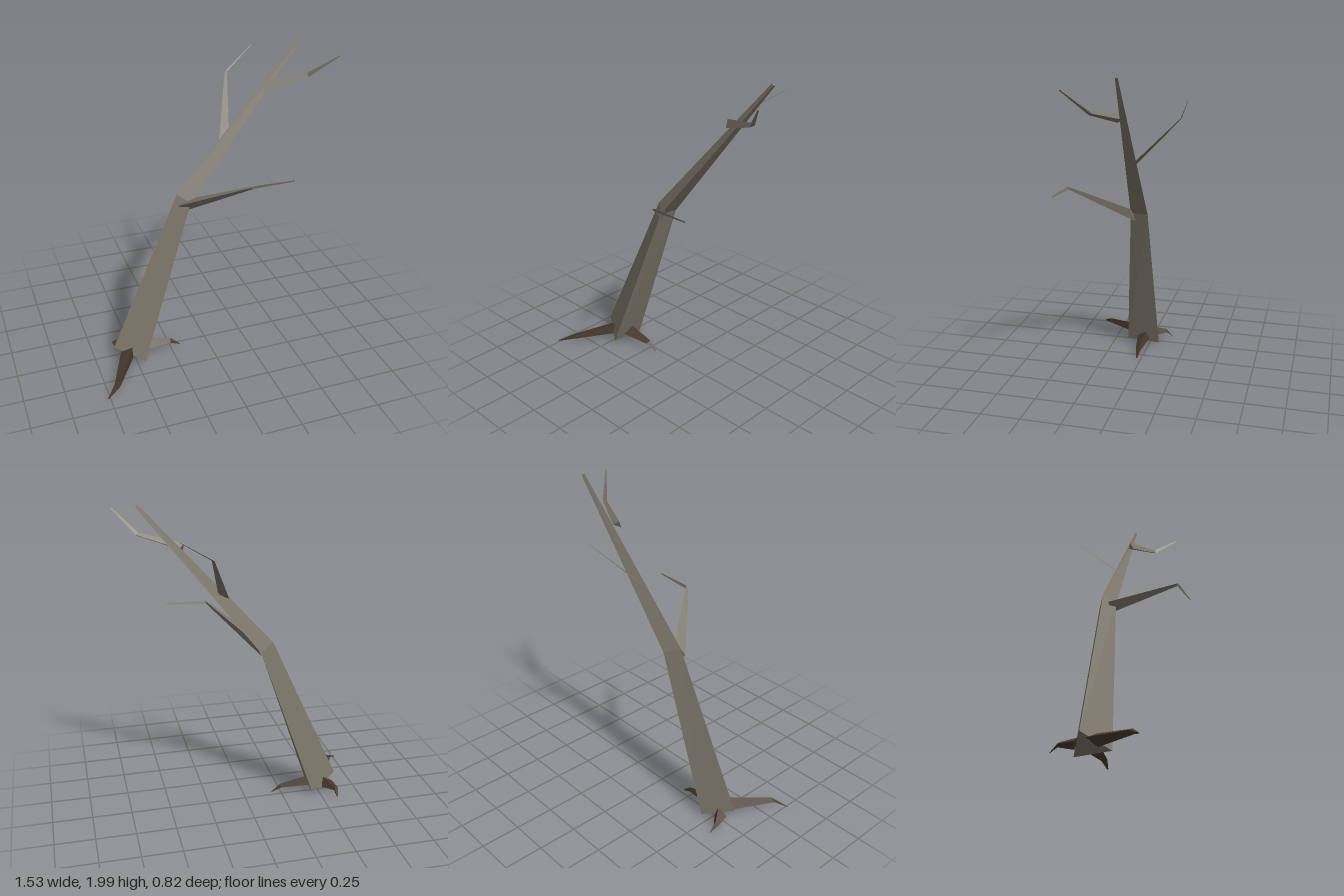
import * as THREE from 'three';

const bark = new THREE.MeshStandardMaterial({ color: 0x7c766b });
bark.name = 'greyBark';
const rootBark = new THREE.MeshStandardMaterial({ color: 0x483a2f });
rootBark.name = 'darkRootBark';

// Faceted skin over a series of triangular sections, capped at both ends
function loft(name, rings, material) {
  const p = rings.map((r) => r.map((v) => new THREE.Vector3(...v)));
  const centre = (r) => r[0].clone().add(r[1]).add(r[2]).divideScalar(3);
  const along = centre(p[1]).sub(centre(p[0]));
  const normal = p[0][1].clone().sub(p[0][0]).cross(p[0][2].clone().sub(p[0][0]));
  if (normal.dot(along) < 0) p.forEach((r) => r.reverse());
  const tris = [];
  for (let i = 0; i < p.length - 1; i++) {
    for (let j = 0; j < 3; j++) {
      const k = (j + 1) % 3;
      const [a, b, c, d] = [p[i][j], p[i][k], p[i + 1][k], p[i + 1][j]];
      tris.push(a, b, c, a, c, d);
    }
  }
  const first = p[0], last = p[p.length - 1];
  tris.push(first[2], first[1], first[0], last[0], last[1], last[2]);
  const geometry = new THREE.BufferGeometry().setFromPoints(tris);
  geometry.computeVertexNormals();
  const mesh = new THREE.Mesh(geometry, material);
  mesh.name = name;
  return mesh;
}

// Bent limb: the base section shrinks towards a bend and then a tip
function limb(name, base, bend, bendScale, tip, tipScale, material) {
  const mid = [0, 1, 2].map((i) => (base[0][i] + base[1][i] + base[2][i]) / 3);
  const section = (at, s) => base.map((v) => v.map((n, i) => at[i] + (n - mid[i]) * s));
  return loft(name, [base, section(bend, bendScale), section(tip, tipScale)], material);
}

export function createModel() {
  const tree = new THREE.Group();
  tree.name = 'deadTree';

  // Leaning trunk with one bend
  tree.add(loft('trunk', [
    [[-0.63, 0.1, 0.04], [-0.455, 0.03, 0.155], [-0.445, 0.02, -0.068]],
    [[-0.175, 1.1, -0.01], [-0.105, 1.055, 0.047], [-0.085, 1.055, -0.067]],
    [[0.628, 2.0, -0.066], [0.642, 1.988, -0.06], [0.645, 1.99, -0.076]],
  ], bark));

  // Branches
  tree.add(limb('lowerBranch',
    [[-0.18, 1.04, 0.025], [-0.11, 1.0, 0.02], [-0.07, 1.09, 0.045]],
    [0.165, 1.265, 0.365], 0.24, [0.42, 1.272, 0.378], 0.1, bark));
  tree.add(limb('backBranch',
    [[0.107, 1.41, -0.035], [0.135, 1.4, -0.015], [0.18, 1.46, -0.06]],
    [0.262, 1.73, -0.337], 0.25, [0.455, 1.858, -0.408], 0.1, bark));
  tree.add(limb('upperBranch',
    [[0.365, 1.757, -0.02], [0.372, 1.71, 0.002], [0.4, 1.732, -0.04]],
    [0.622, 1.8, 0.08], 0.5, [0.755, 1.936, 0.202], 0.16, bark));

  // Roots
  tree.add(limb('frontRoot',
    [[-0.59, 0.075, 0.06], [-0.51, 0.115, 0.075], [-0.52, 0.038, 0.1]],
    [-0.685, 0.05, 0.345], 0.4, [-0.763, 0.01, 0.405], 0.08, rootBark));
  tree.add(limb('backRoot',
    [[-0.6, 0.06, 0.0], [-0.53, 0.1, 0.0], [-0.525, 0.035, -0.03]],
    [-0.598, 0.05, -0.09], 0.4, [-0.596, 0.01, -0.137], 0.08, rootBark));
  tree.add(limb('sideRoot',
    [[-0.45, 0.06, 0.085], [-0.43, 0.108, 0.02], [-0.45, 0.045, 0.0]],
    [-0.25, 0.052, 0.03], 0.4, [-0.187, 0.011, 0.028], 0.08, rootBark));

  return tree;
}
